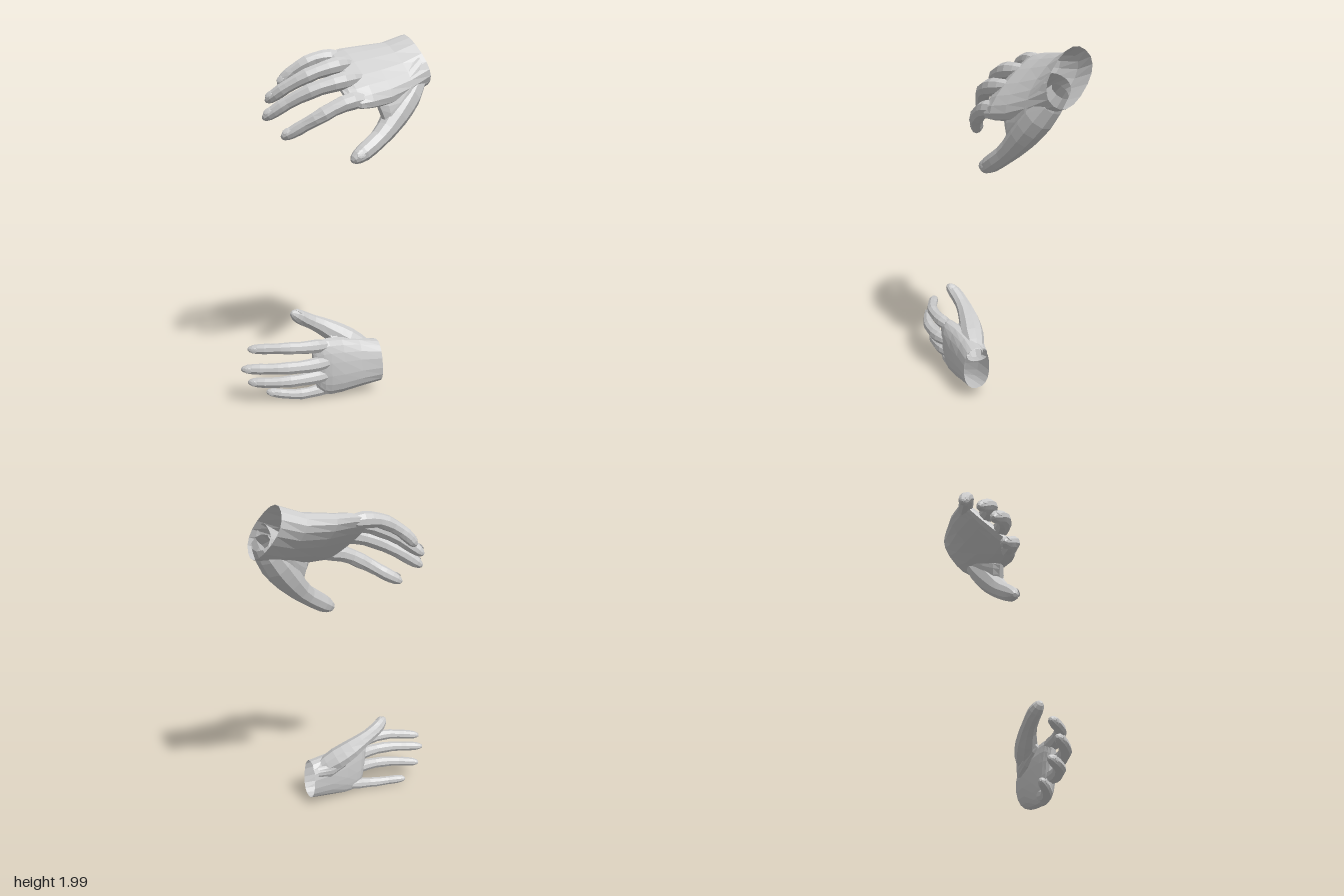
import * as THREE from 'three';

const V3 = (a) => new THREE.Vector3(...a);
const skin = new THREE.MeshStandardMaterial({ color: 0xcccccc, flatShading: true, side: THREE.DoubleSide });

// Skin a list of rings { c, u, v, flat } (centre, two half axes, palm-side depth); u x v points along the path
function loft(rings, sides, power) {
  const pos = [], idx = [];
  const soft = (s) => Math.sign(s) * Math.pow(Math.abs(s), power);
  for (const { c, u, v, flat = 1 } of rings) {
    for (let i = 0; i < sides; i++) {
      const a = (i / sides) * Math.PI * 2;
      const s = soft(Math.sin(a)) * (Math.sin(a) < 0 ? flat : 1);
      const p = c.clone().addScaledVector(u, soft(Math.cos(a))).addScaledVector(v, s);
      pos.push(p.x, p.y, p.z);
    }
  }
  for (let r = 0; r < rings.length - 1; r++) {
    for (let i = 0; i < sides; i++) {
      const j = (i + 1) % sides, a = r * sides, b = a + sides;
      idx.push(a + i, a + j, b + j, a + i, b + j, b + i);
    }
  }
  // Closed far end
  const c = rings[rings.length - 1].c, base = (rings.length - 1) * sides;
  pos.push(c.x, c.y, c.z);
  for (let i = 0; i < sides; i++) idx.push(base + i, base + ((i + 1) % sides), rings.length * sides);
  const g = new THREE.BufferGeometry();
  g.setAttribute('position', new THREE.Float32BufferAttribute(pos, 3));
  g.setIndex(idx);
  g.computeVertexNormals();
  return g;
}

// Flat body from sections: [thumb-side edge, other edge, half thickness, palm-side depth]
function slab(name, sections, back) {
  const mid = sections.map(([a, b]) => V3(a).add(V3(b)).multiplyScalar(0.5));
  const rings = sections.map(([a, b, thick, flat], i) => {
    const t = mid[Math.min(i + 1, mid.length - 1)].clone().sub(mid[Math.max(i - 1, 0)]);
    const u = V3(b).sub(V3(a)).multiplyScalar(0.5);
    const v = t.cross(u).normalize();
    if (v.dot(back) < 0) { v.negate(); u.negate(); }
    return { c: mid[i], u, v: v.multiplyScalar(thick), flat };
  });
  const mesh = new THREE.Mesh(loft(rings, 18, 0.85), skin);
  mesh.name = name;
  return mesh;
}

// Station along a digit and its relative radius: sunk root, swelling at the joints, round tip
const fingerShape = [[0, 0.55], [0.1, 0.95], [0.2, 1.12], [0.3, 1.06], [0.42, 0.95], [0.52, 0.99], [0.62, 0.89],
  [0.74, 0.83], [0.8, 0.86], [0.88, 0.8], [0.94, 0.68], [0.98, 0.46], [1, 0.2]];
const thumbShape = [[0, 0.95], [0.12, 1.35], [0.25, 1.55], [0.36, 1.5], [0.46, 1.38], [0.6, 1.12], [0.7, 0.98],
  [0.8, 0.95], [0.88, 0.9], [0.94, 0.74], [0.98, 0.5], [1, 0.22]];

// Digit running from inside the palm to the tip, with a nail on its back
function digit(name, points, radius, shape, back) {
  const curve = new THREE.CatmullRomCurve3(points.map(V3));
  const frame = (t) => {
    const T = curve.getTangentAt(t);
    const v = back.clone().addScaledVector(T, -back.dot(T)).normalize();
    return { T, v, u: new THREE.Vector3().crossVectors(v, T), c: curve.getPointAt(t) };
  };
  const rings = shape.map(([t, k]) => {
    const { u, v, c } = frame(t);
    return { c, u: u.multiplyScalar(radius * k), v: v.multiplyScalar(radius * k) };
  });
  const group = new THREE.Group();
  group.name = name;
  const body = new THREE.Mesh(loft(rings, 9, 1), skin);
  body.name = name + 'Body';

  const f = frame(0.92);
  const nail = new THREE.Mesh(new THREE.SphereGeometry(1, 8, 6), skin);
  nail.name = name + 'Nail';
  nail.matrixAutoUpdate = false;
  nail.matrix.makeBasis(f.u.clone().multiplyScalar(radius * 0.48), f.v.clone().multiplyScalar(radius * 0.12),
    f.T.clone().multiplyScalar(radius * 0.65));
  nail.matrix.setPosition(f.c.clone().addScaledVector(f.v, radius * 0.68));
  group.add(body, nail);
  return group;
}

function hand(name, d) {
  const group = new THREE.Group();
  group.name = name;
  const back = V3(d.back).normalize();
  group.add(slab('palm', d.palm, back), slab('thumbWeb', d.web, back));
  for (const [finger, scale] of [['index', 1], ['middle', 1.03], ['ring', 1], ['little', 0.92]]) {
    group.add(digit(finger + 'Finger', d[finger], d.radius * scale, fingerShape, back));
  }
  group.add(digit('thumb', d.thumb, d.radius * 1.25, thumbShape, V3(d.thumbBack).normalize()));
  return group;
}

const upper = {
  radius: 0.044, back: [-0.1, 0.78, 0.63], thumbBack: [-0.3, 0.3, 1],
  palm: [
    [[0.60, 1.73, 0.10], [0.56, 1.975, -0.14], 0.10, 1],
    [[0.46, 1.67, 0.12], [0.44, 1.93, -0.18], 0.09, 0.9],
    [[0.30, 1.62, 0.14], [0.28, 1.91, -0.215], 0.085, 0.75],
    [[0.17, 1.60, 0.145], [0.17, 1.90, -0.215], 0.075, 0.65],
    [[0.10, 1.595, 0.135], [0.10, 1.885, -0.215], 0.055, 0.75],
    [[0.055, 1.62, 0.11], [0.07, 1.86, -0.20], 0.035, 0.8],
    [[0.03, 1.65, 0.08], [0.055, 1.84, -0.18], 0.01, 1],
  ],
  web: [
    [[0.56, 1.76, 0.06], [0.54, 1.86, 0.00], 0.08, 1],
    [[0.44, 1.60, 0.09], [0.42, 1.80, 0.03], 0.075, 1],
    [[0.36, 1.53, 0.10], [0.34, 1.72, 0.06], 0.06, 1],
    [[0.30, 1.49, 0.11], [0.26, 1.66, 0.09], 0.04, 1],
    [[0.28, 1.49, 0.115], [0.22, 1.63, 0.10], 0.012, 1],
  ],
  index: [[0.18, 1.65, 0.10], [0.02, 1.62, 0.08], [-0.12, 1.545, 0.03], [-0.21, 1.48, -0.04], [-0.28, 1.435, -0.085]],
  middle: [[0.17, 1.76, 0.03], [0, 1.73, 0.02], [-0.12, 1.69, -0.025], [-0.24, 1.62, -0.10], [-0.345, 1.535, -0.175]],
  ring: [[0.17, 1.835, -0.07], [0.03, 1.815, -0.065], [-0.09, 1.775, -0.095], [-0.2, 1.71, -0.155], [-0.29, 1.625, -0.24]],
  little: [[0.18, 1.87, -0.17], [0.02, 1.86, -0.205], [-0.07, 1.82, -0.235], [-0.13, 1.77, -0.27], [-0.175, 1.71, -0.30]],
  thumb: [[0.57, 1.79, 0.03], [0.46, 1.655, 0.065], [0.36, 1.54, 0.088], [0.265, 1.445, 0.105], [0.15, 1.365, 0.115], [0.05, 1.305, 0.115]],
};

const lower = {
  radius: 0.034, back: [-0.2, 0, 1], thumbBack: [-0.1, 1, 0.35],
  palm: [
    [[0.142, 0.305, 0.23], [0.155, 0.065, 0.24], 0.078, 1],
    [[0.03, 0.325, 0.20], [0.03, 0.045, 0.215], 0.075, 0.9],
    [[-0.08, 0.345, 0.19], [-0.08, 0.025, 0.19], 0.07, 0.7],
    [[-0.17, 0.355, 0.195], [-0.15, 0.022, 0.18], 0.06, 0.65],
    [[-0.215, 0.35, 0.195], [-0.18, 0.03, 0.18], 0.045, 0.75],
    [[-0.245, 0.33, 0.19], [-0.205, 0.055, 0.18], 0.028, 0.8],
    [[-0.26, 0.31, 0.19], [-0.22, 0.075, 0.18], 0.01, 1],
  ],
  web: [
    [[0.12, 0.29, 0.21], [0.12, 0.21, 0.21], 0.06, 1],
    [[0.04, 0.32, 0.17], [0.04, 0.20, 0.19], 0.065, 1],
    [[-0.04, 0.35, 0.14], [-0.04, 0.24, 0.175], 0.052, 1],
    [[-0.10, 0.375, 0.125], [-0.10, 0.30, 0.175], 0.03, 1],
    [[-0.13, 0.38, 0.12], [-0.12, 0.32, 0.18], 0.01, 1],
  ],
  index: [[-0.14, 0.315, 0.20], [-0.3, 0.325, 0.195], [-0.41, 0.33, 0.16], [-0.5, 0.325, 0.095], [-0.57, 0.32, 0.035]],
  middle: [[-0.14, 0.225, 0.215], [-0.3, 0.225, 0.215], [-0.43, 0.225, 0.175], [-0.54, 0.222, 0.105], [-0.615, 0.22, 0.045]],
  ring: [[-0.13, 0.15, 0.205], [-0.28, 0.145, 0.195], [-0.4, 0.138, 0.155], [-0.49, 0.132, 0.095], [-0.565, 0.13, 0.025]],
  little: [[-0.09, 0.075, 0.185], [-0.2, 0.052, 0.165], [-0.3, 0.038, 0.13], [-0.38, 0.042, 0.085], [-0.455, 0.052, 0.028]],
  thumb: [[0.10, 0.25, 0.205], [0.03, 0.29, 0.17], [-0.06, 0.345, 0.127], [-0.15, 0.40, 0.098], [-0.24, 0.447, 0.085], [-0.33, 0.5, 0.095]],
};

export function createModel() {
  const model = new THREE.Group();
  model.name = 'pairOfHands';
  model.add(hand('upperHand', upper), hand('lowerHand', lower));
  return model;
}
